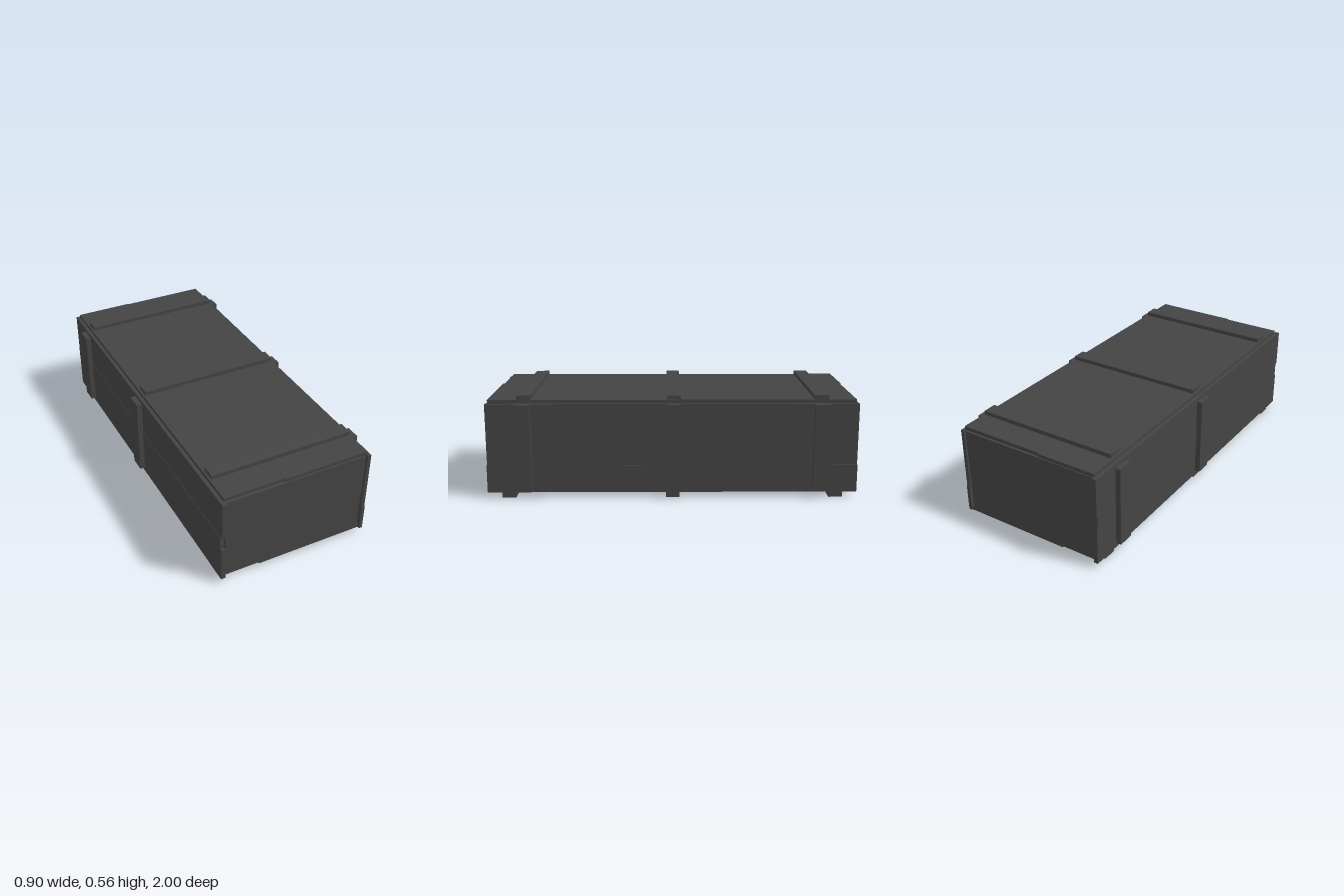
import * as THREE from 'three';

export function createModel() {
  const crate = new THREE.Group();
  crate.name = 'woodenCrate';
  const wood = new THREE.MeshStandardMaterial({ color: 0x444444, flatShading: true });

  // A board given by its extents along x, y and z
  const board = (name, [x0, x1], [y0, y1], [z0, z1]) => {
    const mesh = new THREE.Mesh(new THREE.BoxGeometry(x1 - x0, y1 - y0, z1 - z0), wood);
    mesh.position.set((x0 + x1) / 2, (y0 + y1) / 2, (z0 + z1) / 2);
    mesh.name = name;
    crate.add(mesh);
  };

  // Floor and lid planks, with slightly uneven ends
  board('floorPlank', [-0.4, -0.2], [0.033, 0.052], [-0.985, 0.98]);
  board('floorPlank', [-0.2, 0.402], [0.03, 0.052], [-0.99, 0.985]);
  board('lidPlank', [-0.402, -0.072], [0.514, 0.534], [-0.985, 0.975]);
  board('lidPlank', [-0.072, 0.405], [0.515, 0.535], [-0.978, 0.982]);

  // Side planks, the middle one on the right falling short at the front
  board('leftSidePlank', [0.401, 0.421], [0.03, 0.18], [-0.995, 0.998]);
  board('leftSidePlank', [0.4, 0.42], [0.18, 0.515], [-0.992, 0.995]);
  board('rightSidePlank', [-0.421, -0.397], [0.028, 0.222], [-1, 0.995]);
  board('rightSidePlank', [-0.423, -0.4], [0.222, 0.304], [-0.997, 0.982]);
  board('rightSidePlank', [-0.421, -0.397], [0.304, 0.515], [-1, 1]);

  // End panels, two planks each, leaving a slit beside the left side
  for (const [name, z] of [['frontPanelPlank', 0.98], ['backPanelPlank', -0.98]]) {
    board(name, [-0.397, 0.389], [0.05, 0.28], [z - 0.01, z + 0.01]);
    board(name, [-0.397, 0.391], [0.28, 0.515], [z - 0.01, z + 0.01]);
  }

  // Cross battens on the lid and runners under the floor
  for (const z of [-0.793, -0.007, 0.79]) board('lidBatten', [-0.391, 0.4], [0.535, 0.557], [z - 0.038, z + 0.038]);
  for (const z of [-0.882, 0, 0.882]) board('runner', [-0.409, 0.421], [0, 0.03], [z - 0.037, z + 0.037]);

  // Upright battens: three on the left side, two on the right
  for (const z of [-0.793, -0.003, 0.793]) board('leftBatten', [0.42, 0.448], [0.053, 0.515], [z - 0.039, z + 0.039]);
  for (const z of [-0.797, -0.003]) board('rightBatten', [-0.45, -0.42], [0.053, 0.495], [z - 0.042, z + 0.048]);

  return crate;
}
